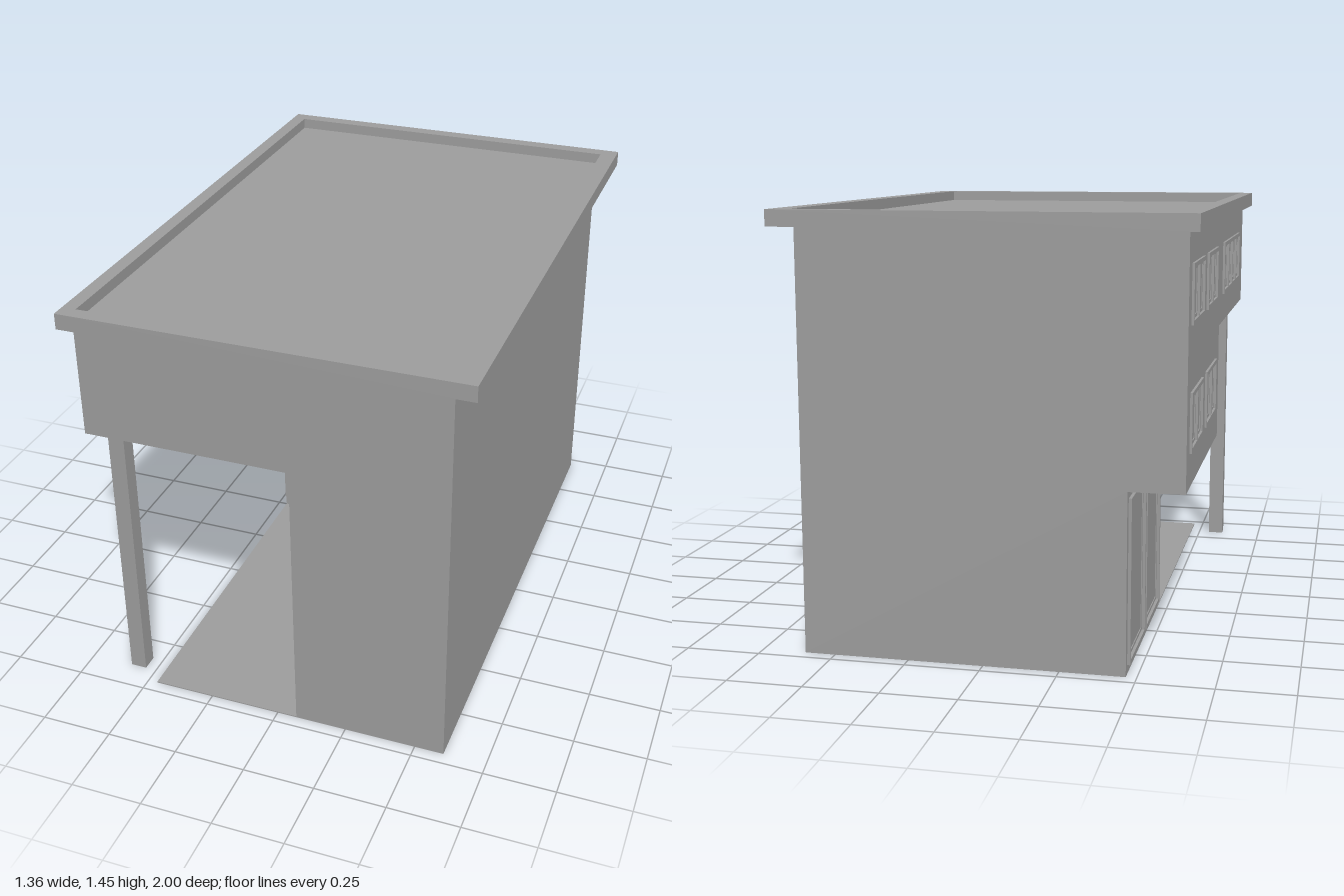
import * as THREE from 'three';

const mat = new THREE.MeshStandardMaterial({ color: 0x9b9b9b, side: THREE.DoubleSide, flatShading: true });

const poly = (points, holes = []) => {
  const shape = new THREE.Shape(points.map(p => new THREE.Vector2(...p)));
  holes.forEach(h => shape.holes.push(new THREE.Path(rect(...h).map(p => new THREE.Vector2(...p)))));
  return shape;
};
// corners of a rectangle from its limits
function rect(a0, a1, b0, b1) {
  return [[a0, b0], [a1, b0], [a1, b1], [a0, b1]];
}

export function createModel() {
  const model = new THREE.Group();
  const add = (name, geometry, parent = model) => {
    const mesh = new THREE.Mesh(geometry, mat);
    mesh.name = name;
    parent.add(mesh);
    return mesh;
  };
  const box = (name, x0, x1, y0, y1, z0, z1, parent) => add(name,
    new THREE.BoxGeometry(x1 - x0, y1 - y0, z1 - z0)
      .translate((x0 + x1) / 2, (y0 + y1) / 2, (z0 + z1) / 2), parent);

  // thin walls: facing +z, facing -x (drawn in z, y) and facing down (drawn in x, z)
  const wallZ = (name, z, points) =>
    add(name, new THREE.ShapeGeometry(poly(points)).translate(0, 0, z));
  const wallX = (name, x, points, holes) =>
    add(name, new THREE.ShapeGeometry(poly(points, holes)).rotateY(-Math.PI / 2).translate(x, 0, 0));
  const soffit = (name, y, points) =>
    add(name, new THREE.ShapeGeometry(poly(points)).rotateX(Math.PI / 2).translate(0, y, 0));

  // frame with openings in a side wall, reaching from x outwards by depth
  const frame = (name, x, depth, outer, holes, parent) => add(name,
    new THREE.ExtrudeGeometry(poly(rect(...outer), holes), { depth, bevelEnabled: false })
      .rotateY(-Math.PI / 2).translate(x, 0, 0), parent);

  // casing, sashes and panes of a window with several lights
  function windowUnit(name, x, [z0, z1, y0, y1], lights, out = 0.008) {
    const group = new THREE.Group();
    group.name = name;
    const bar = 0.014, step = (z1 - z0 - bar) / lights;
    const openings = [];
    for (let i = 0; i < lights; i++) {
      openings.push([z0 + bar + i * step, z0 + (i + 1) * step, y0 + bar, y1 - bar]);
    }
    frame('casing', x + 0.01, out + 0.01, [z0, z1, y0, y1], openings, group);
    openings.forEach(([a, b, c, d]) => {
      const s = 0.01;
      frame('sash', x + 0.01, 0.01, [a, b, c, d], [[a + s, b - s, c + s, d - s]], group);
      box('pane', x + 0.003, x + 0.007, c, d, a, b, group);
    });
    model.add(group);
  }

  const L = -0.645, G = -0.465, P = 0.07, R = 0.602, Z = 0.957, S = -0.246;
  const H = 1.398, M = 0.597, U = 1.003; // roof, middle floor and top floor heights

  // outer walls
  wallZ('frontWall', Z, [[P, 0], [R, 0], [R, H], [L, H], [L, U], [P, U]]);
  wallZ('backWall', -Z, [[G, 0], [R, 0], [R, H], [L, H], [L, M], [G, M]]);
  wallX('rightWall', R, rect(-Z, Z, 0, H));

  // upper wall with windows
  const upper = [
    [[-0.885, -0.565, 1.108, 1.298], 2], [[-0.452, -0.132, 1.108, 1.298], 2], [[0.105, 0.76, 1.108, 1.298], 4],
    [[-0.885, -0.565, 0.71, 0.9], 2], [[-0.452, -0.132, 0.71, 0.9], 2],
  ];
  wallX('upperLeftWall', L, [[-Z, M], [0, M], [0, U], [Z, U], [Z, H], [-Z, H]], upper.map(w => w[0]));
  upper.forEach(([r, n]) => windowUnit('window', L, r, n));

  // recessed ground floor with tall glazing
  const tall = [[-0.93, -0.605, 0.03, 0.57], [-0.58, -0.26, 0.03, 0.57]];
  wallX('groundLeftWall', G, rect(-Z, S, 0, M), tall);
  tall.forEach(r => windowUnit('shopWindow', G, r, 1, 0.01));

  // walls around the covered entrance
  const door = [0.14, 0.57, 0.015, 0.64];
  wallZ('entranceBackWall', S, rect(G, P, 0, M));
  wallZ('middleFloorEndWall', 0, rect(L, P, M, U));
  wallX('entranceSideWall', P, [[S, 0], [Z, 0], [Z, U], [0, U], [0, M], [S, M]], [door]);
  windowUnit('entranceDoor', P, door, 2, 0);
  box('doorLedge', 0.05, P, 0.645, 0.66, 0.13, 0.58);
  for (const z of [0.325, 0.375]) box('doorHandle', 0.058, P + 0.005, 0.31, 0.36, z, z + 0.01);

  // undersides of the overhanging floors
  soffit('middleFloorSoffit', M, [[L, -Z], [G, -Z], [G, S], [P, S], [P, 0], [L, 0]]);
  soffit('topFloorSoffit', U, rect(L, P, 0, Z));

  // entrance paving and column
  box('entranceFloor', G, P, 0, 0.004, S, Z);
  box('column', -0.597, -0.54, 0, U, 0.842, 0.899);

  // flat roof with raised rim
  add('roofRim', new THREE.ExtrudeGeometry(
    poly(rect(-0.68, 0.68, -1, 1), [[-0.632, 0.62, -0.95, 0.95]]),
    { depth: 0.054, bevelEnabled: false }).rotateX(Math.PI / 2).translate(0, 1.452, 0));
  box('roofDeck', -0.632, 0.62, H, 1.414, -0.95, 0.95);

  return model;
}
